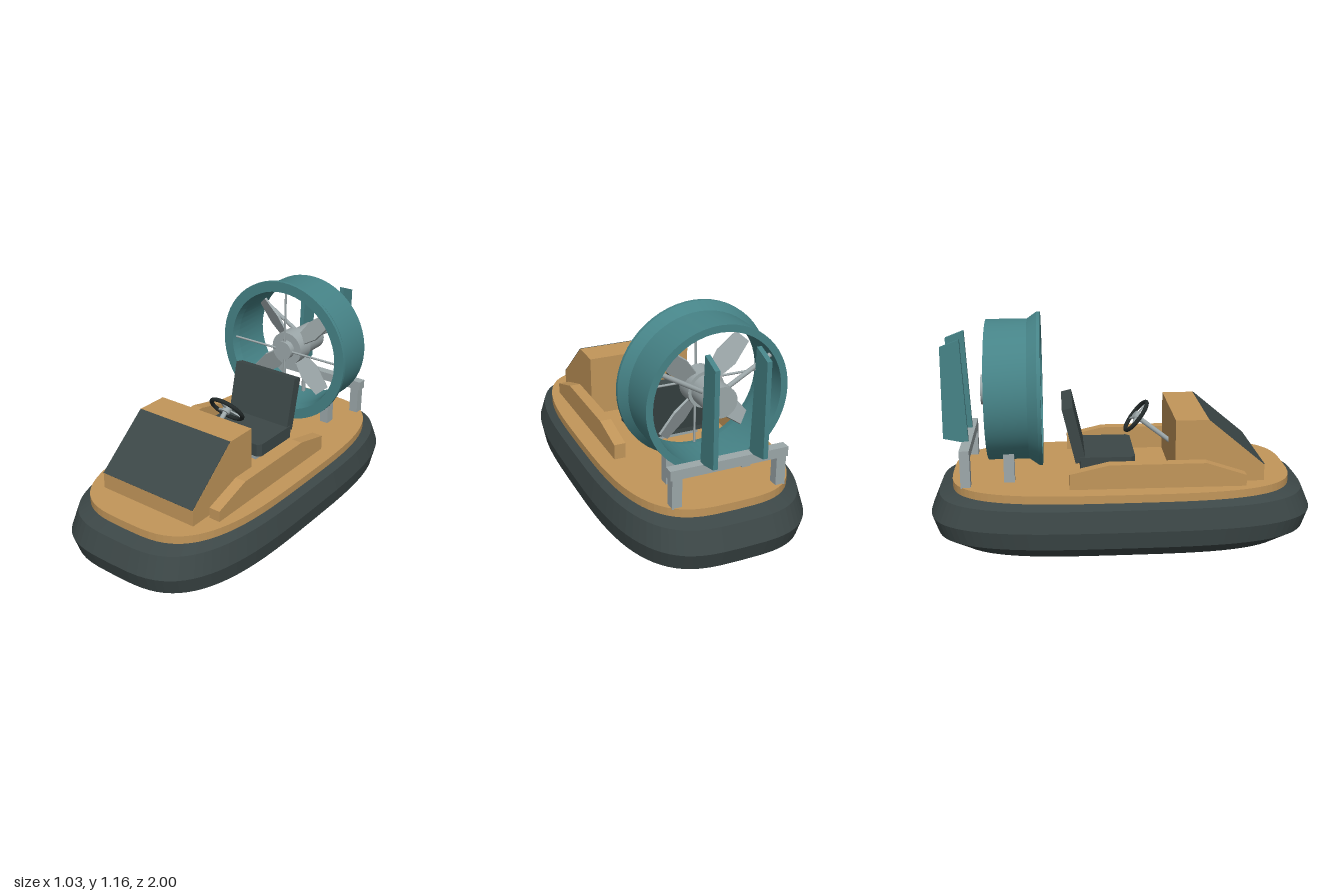
import * as THREE from 'three';
import { toCreasedNormals } from 'three/addons/utils/BufferGeometryUtils.js';

const mat = (name, color, flatShading = false) => {
  const m = new THREE.MeshStandardMaterial({ color, flatShading });
  m.name = name;
  return m;
};

// Loft of scaled superellipse outlines; profile is a list of [scale, height]
function hullLoft(profile, segments = 80) {
  const pos = [];
  const pow = (v) => Math.sign(v) * Math.abs(v) ** (2 / 3.35);
  const point = (i, j) => {
    const t = (i / segments) * Math.PI * 2, [s, y] = profile[j];
    return [0.515 * s * pow(Math.cos(t)), y, s * pow(Math.sin(t))];
  };
  for (let i = 0; i < segments; i++) {
    for (let j = 0; j < profile.length - 1; j++) {
      const a = point(i, j), b = point(i, j + 1), c = point(i + 1, j + 1), d = point(i + 1, j);
      pos.push(...a, ...b, ...c, ...a, ...c, ...d);
    }
  }
  const g = new THREE.BufferGeometry();
  g.setAttribute('position', new THREE.Float32BufferAttribute(pos, 3));
  g.computeVertexNormals();
  return g;
}

const outline = (points) => new THREE.Shape(points.map(([x, y]) => new THREE.Vector2(x, y)));
const extrude = (points, depth) =>
  new THREE.ExtrudeGeometry(outline(points), { depth, bevelEnabled: false });

// Side profile of [z, y] points, extruded across x and centred
const sideExtrude = (points, width) =>
  extrude(points, width).translate(0, 0, -width / 2).rotateY(-Math.PI / 2);

// Cylinder along z between two depths
const zCylinder = (rFront, rBack, z0, z1, sides = 32) =>
  new THREE.CylinderGeometry(rFront, rBack, z1 - z0, sides).rotateX(Math.PI / 2).translate(0, 0, (z0 + z1) / 2);

export function createModel() {
  const model = new THREE.Group();
  model.name = 'hovercraft';
  const rubber = mat('dark rubber', 0x3c4747, true);
  const tan = mat('tan hull', 0xc2965a, true);
  const teal = mat('teal', 0x468387);
  const metal = mat('grey metal', 0x9da8aa);
  const black = mat('black grip', 0x232a2a);

  const add = (name, geo, material, parent = model) => {
    const m = new THREE.Mesh(geo, material);
    m.name = name;
    parent.add(m);
    return m;
  };
  const box = (name, w, h, d, x, y, z, material, parent) => {
    const m = add(name, new THREE.BoxGeometry(w, h, d), material, parent);
    m.position.set(x, y, z);
    return m;
  };

  // Hollow skirt and deck
  add('skirt', hullLoft([[0.7, 0.285], [0.7, 0], [0.86, 0], [0.97, 0.06],
    [1, 0.15], [0.955, 0.257], [0.88, 0.285]]), rubber);
  add('deck', hullLoft([[0, 0.283], [0.885, 0.283], [0.885, 0.325], [0, 0.325]]), tan);

  // Console with a dark sloping panel
  add('console', sideExtrude([[0.72, 0.32], [0.72, 0.41], [0.43, 0.653], [0.26, 0.653], [0.26, 0.32]], 0.58), tan);
  add('consolePanel', sideExtrude([[0.72, 0.41], [0.722, 0.412], [0.432, 0.655], [0.43, 0.653]], 0.578), rubber);

  // Side rails
  for (const s of [1, -1]) {
    const rail = add(s > 0 ? 'leftRail' : 'rightRail', sideExtrude([[0.615, 0.32], [0.615, 0.382], [0.41, 0.45],
      [-0.08, 0.45], [-0.28, 0.405], [-0.28, 0.32]], 0.06), tan);
    rail.position.x = s * 0.335;
  }

  // Seat: cushion with chamfered front corners, leaning back
  box('seatBase', 0.3, 0.06, 0.2, 0, 0.35, -0.07, metal);
  const cushion = add('seatCushion', extrude([[-0.2, -0.045], [-0.18, -0.065], [0.18, -0.065], [0.2, -0.045],
    [0.2, 0.22], [-0.2, 0.22]], 0.07).rotateX(-Math.PI / 2), rubber);
  cushion.position.y = 0.368;
  add('seatBack', sideExtrude([[-0.19, 0.42], [-0.255, 0.705], [-0.31, 0.692], [-0.243, 0.405]], 0.39), rubber);

  // Steering wheel and column, built facing along the column
  const steering = new THREE.Group();
  steering.name = 'steering';
  steering.position.set(0, 0.6, 0.085);
  steering.rotation.x = 0.66;
  model.add(steering);
  add('wheelRim', new THREE.TorusGeometry(0.092, 0.011, 10, 36), black, steering);
  add('column', zCylinder(0.013, 0.013, 0, 0.24, 14), metal, steering);
  add('wheelHub', zCylinder(0.024, 0.024, -0.014, 0.02, 20), metal, steering);
  for (let i = 0; i < 3; i++) {
    const a = Math.PI / 2 + (i * Math.PI * 2) / 3;
    const spoke = box('wheelSpoke', 0.09, 0.012, 0.008, Math.cos(a) * 0.045, Math.sin(a) * 0.045, 0, metal, steering);
    spoke.rotation.z = a;
  }

  // Fan assembly around the duct axis
  const fan = new THREE.Group();
  fan.name = 'fanAssembly';
  fan.position.y = 0.76;
  model.add(fan);
  const ductProfile = [[0.33, -0.69], [0.365, -0.69], [0.365, -0.48], [0.4, -0.43], [0.4, -0.412],
    [0.342, -0.412], [0.33, -0.46], [0.33, -0.69]].map(([r, z]) => new THREE.Vector2(r, z));
  add('duct', toCreasedNormals(new THREE.LatheGeometry(ductProfile, 56).rotateX(Math.PI / 2), 0.25), teal, fan);
  add('fanHub', zCylinder(0.095, 0.095, -0.56, -0.46), metal, fan);
  add('frontBearing', zCylinder(0.052, 0.052, -0.46, -0.425), metal, fan);
  add('motor', zCylinder(0.078, 0.078, -0.725, -0.56), metal, fan);

  // Four pitched blades
  const bladeGeo = extrude([[-0.03, 0.06], [0.03, 0.06], [0.056, 0.18], [0.039, 0.305], [-0.039, 0.305],
    [-0.056, 0.18]], 0.012).translate(0, 0, -0.006).rotateY(-0.45);
  for (let i = 0; i < 4; i++) {
    const b = add('fanBlade', bladeGeo, metal, fan);
    b.position.z = -0.52;
    b.rotation.z = Math.PI / 4 - 0.045 + (i * Math.PI) / 2;
  }

  // Thin front guard rods and thicker rear motor struts
  const struts = (name, count, radius, z) => {
    for (let i = 0; i < count; i++) {
      const s = add(name, new THREE.CylinderGeometry(radius, radius, 0.3, 10).translate(0, 0.19, 0), metal, fan);
      s.position.z = z;
      s.rotation.z = Math.PI + (i * Math.PI * 2) / count;
    }
  };
  struts('guardRod', 4, 0.006, -0.44);
  struts('motorStrut', 3, 0.012, -0.65);

  // Duct posts, rear frame and rudders
  box('rudderBar', 0.61, 0.05, 0.05, 0, 0.495, -0.8, metal);
  for (const s of [1, -1]) {
    box('ductPost', 0.05, 0.16, 0.055, s * 0.205, 0.4, -0.583, metal);
    box('framePost', 0.05, 0.155, 0.05, s * 0.27, 0.3975, -0.8, metal);
    const rudder = add(s > 0 ? 'leftRudder' : 'rightRudder',
      sideExtrude([[-0.815, 1.05], [-0.913, 1.012], [-0.918, 0.538], [-0.79, 0.51]], 0.024), teal);
    rudder.position.x = s * 0.127;
  }
  return model;
}
